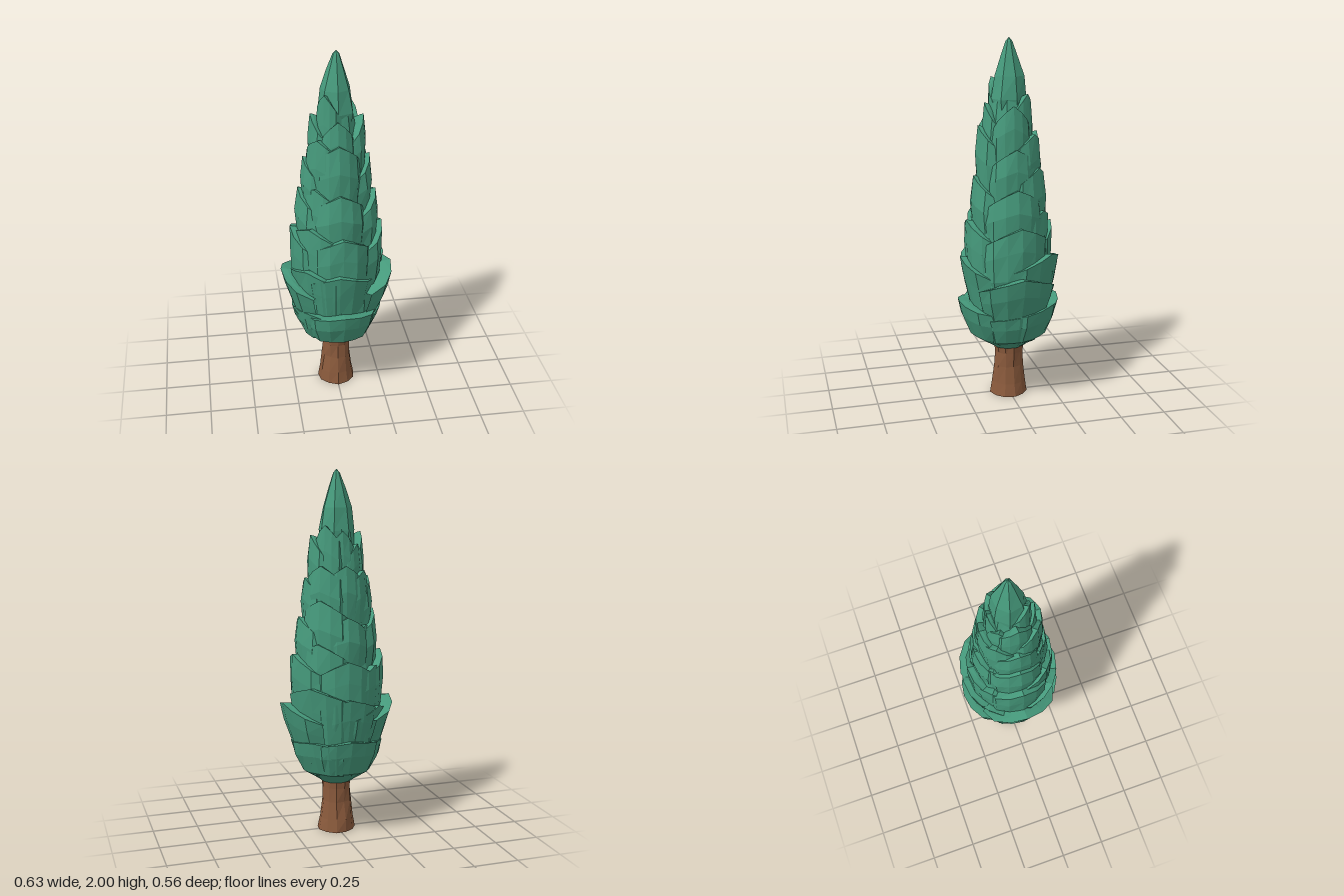
import * as THREE from 'three';

// small seeded generator for hand-carved irregularity, returns -1..1
function makeRandom(seed) {
  return () => {
    seed = (seed * 16807) % 2147483647;
    return (seed / 2147483647) * 2 - 1;
  };
}

// surface from rows of points
function loft(rows) {
  const n = rows[0].length;
  const index = [];
  for (let i = 0; i < rows.length - 1; i++) {
    for (let j = 0; j < n - 1; j++) {
      const a = i * n + j, b = a + 1, c = a + n, d = c + 1;
      index.push(a, b, d, a, d, c);
    }
  }
  const geo = new THREE.BufferGeometry();
  geo.setAttribute('position', new THREE.Float32BufferAttribute(rows.flat(2), 3));
  geo.setIndex(index);
  geo.computeVertexNormals();
  return geo;
}

// closed rings around the y axis from [radius, height] pairs
function carvedRings(profile, sides, rough, rand) {
  const rows = profile.map(([r, y]) => {
    const ring = [];
    for (let j = 0; j < sides; j++) {
      const a = (j / sides) * Math.PI * 2;
      const k = r * (1 + rough * rand());
      ring.push([k * Math.sin(a), y, k * Math.cos(a)]);
    }
    ring.push(ring[0]);
    return ring;
  });
  return loft(rows);
}

// cupped leaf: rises to a peaked rim, then a ledge folds inward
function leafGeometry({ angle, span, top, bottom, radius, shape, drop }, rand) {
  // rows of [height fraction, radius factor, extra height]
  const steps = [
    [0, shape[0], 0], [0.3, shape[1], 0], [0.7, shape[2], 0], [1, shape[3], 0],
    [1, shape[3] * 0.88, -0.004], [1, shape[3] * 0.6, -0.02],
  ];
  const cols = 6;
  const rows = steps.map(([s, factor, lift]) => {
    const row = [];
    for (let j = 0; j <= cols; j++) {
      const u = (j / cols) * 2 - 1;
      const rim = top - drop * Math.pow(Math.abs(u), 1.2);
      const y = bottom + (rim - bottom) * s + lift;
      const carve = s > 0 && s < 1 ? 1 + 0.02 * rand() : 1;
      const r = radius * factor * carve * (1 - 0.05 * u * u - 0.1 * Math.pow(u, 6));
      const a = angle + u * span;
      row.push([r * Math.sin(a), y, r * Math.cos(a)]);
    }
    return row;
  });
  return loft(rows);
}

export function createModel() {
  const tree = new THREE.Group();
  tree.name = 'tree';
  const rand = makeRandom(4711);
  const green = new THREE.MeshStandardMaterial({
    name: 'leaf green', color: 0x469a7c, flatShading: true, side: THREE.DoubleSide });
  const brown = new THREE.MeshStandardMaterial({
    name: 'bark brown', color: 0x8a5a3c, flatShading: true });

  const add = (name, geometry, material, parent = tree) => {
    const mesh = new THREE.Mesh(geometry, material);
    mesh.name = name;
    parent.add(mesh);
    return mesh;
  };

  // trunk, closed at the foot
  add('trunk', carvedRings([[0, 0], [0.102, 0], [0.094, 0.07], [0.081, 0.17],
    [0.078, 0.25], [0.088, 0.34]], 11, 0.06, rand), brown);

  // inner foliage that fills the gaps between leaves
  add('foliageCore', carvedRings([[0, 0.29], [0.09, 0.288], [0.17, 0.35], [0.215, 0.46],
    [0.225, 0.6], [0.23, 0.75], [0.21, 0.9], [0.185, 1.05], [0.16, 1.22], [0.135, 1.4],
    [0.11, 1.55], [0.085, 1.7], [0, 1.82]], 10, 0.03, rand), green);

  // leaf directions in degrees from the front; each tier lists a rim height and radius for each
  const directions = [0, 90, 135, 180, 225, 270, 315];
  const tiers = [
    { bottom: 0.29, drop: 0.04, shape: [0.32, 0.76, 0.93, 1],
      tops: [0.57, 0.525, 0.56, 0.57, 0.54, 0.525, 0.56],
      radii: [0.285, 0.255, 0.275, 0.28, 0.255, 0.255, 0.262] },
    { bottom: 0.42, drop: 0.09, shape: [0.62, 0.79, 0.92, 1],
      tops: [0.82, 0.755, 0.86, 0.8, 0.74, 0.755, 0.83],
      radii: [0.272, 0.314, 0.285, 0.272, 0.265, 0.312, 0.272] },
    { bottom: 0.62, drop: 0.11, shape: [0.84, 0.97, 1.01, 1],
      tops: [1.03, 1.02, 1.09, 1, 0.96, 1.02, 1.07],
      radii: [0.24, 0.255, 0.222, 0.24, 0.235, 0.255, 0.232] },
    { bottom: 0.82, drop: 0.11, shape: [0.87, 0.98, 1.04, 0.97],
      tops: [1.27, 1.22, 1.32, 1.23, 1.18, 1.25, 1.29],
      radii: [0.2, 0.222, 0.2, 0.2, 0.19, 0.215, 0.19] },
    { bottom: 1.05, drop: 0.11, shape: [0.87, 0.99, 1.04, 0.97],
      tops: [1.54, 1.43, 1.5, 1.5, 1.47, 1.43, 1.56],
      radii: [0.172, 0.185, 0.175, 0.165, 0.168, 0.185, 0.166] },
    { bottom: 1.27, drop: 0.13, shape: [0.98, 1.06, 1.08, 1],
      tops: [1.66, 1.655, 1.71, 1.68, 1.61, 1.67, 1.79],
      radii: [0.13, 0.144, 0.123, 0.115, 0.125, 0.138, 0.106] },
  ];
  tiers.forEach(({ bottom, drop, shape, tops, radii }, i) => {
    const group = new THREE.Group();
    group.name = `leafTier${i + 1}`;
    tree.add(group);
    directions.forEach((degrees, k) => {
      add('leaf', leafGeometry({
        angle: THREE.MathUtils.degToRad(degrees) + 0.06 * rand(),
        span: 0.94, top: tops[k], radius: radii[k], bottom, shape, drop,
      }, rand), green, group);
    });
  });

  // pointed crown
  const crown = add('crown', carvedRings([[0, 1.56], [0.09, 1.58], [0.098, 1.68], [0.08, 1.8],
    [0.047, 1.9], [0.018, 1.98], [0, 2]], 7, 0.06, rand), green);
  crown.position.set(0, 0, -0.004);

  return tree;
}
